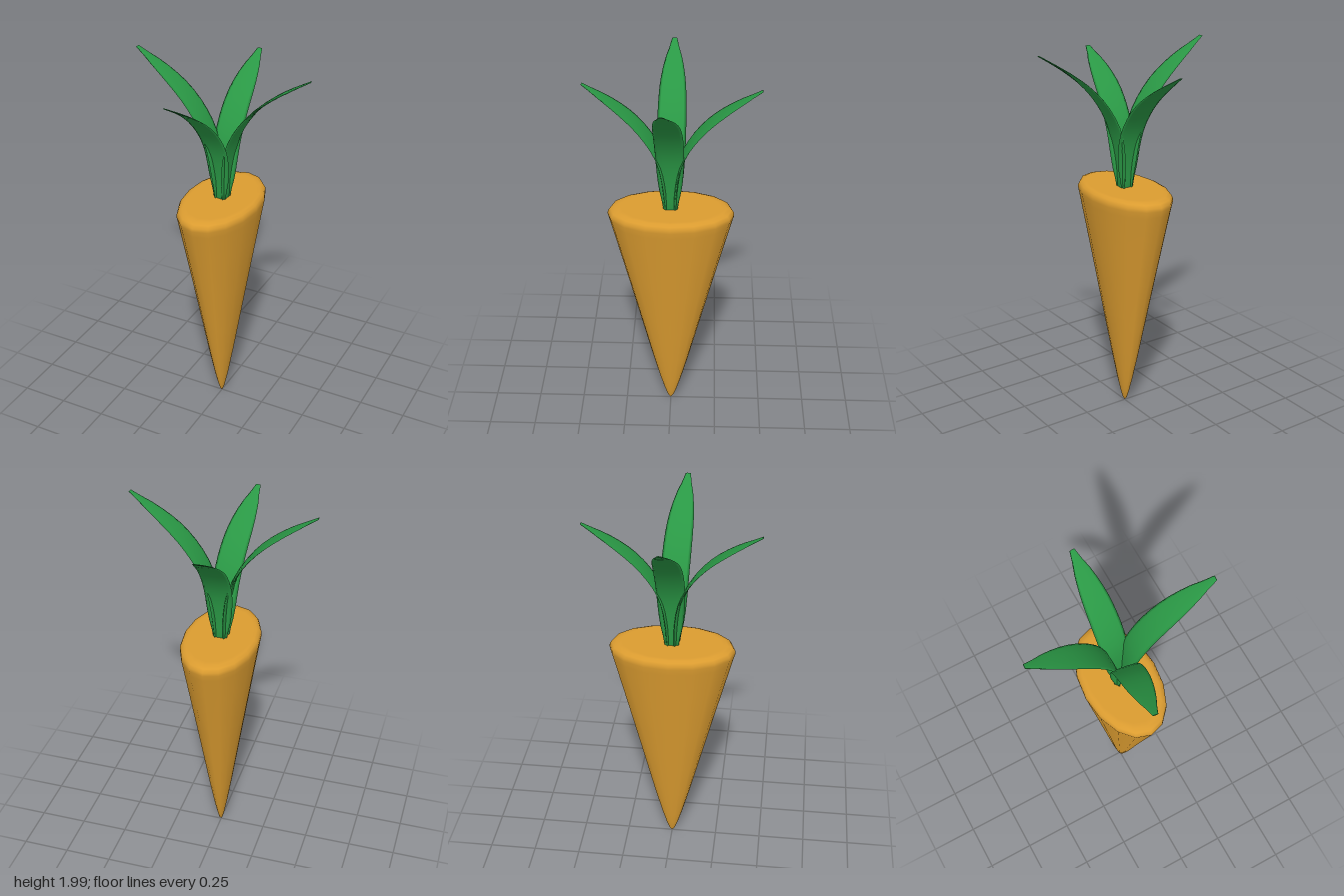
import * as THREE from 'three';
import { mergeVertices } from 'three/addons/utils/BufferGeometryUtils.js';

const v2 = (list) => list.map(([x, y]) => new THREE.Vector2(x, y));
const orange = new THREE.MeshStandardMaterial({ color: 0xdb9c30 });
const green = new THREE.MeshStandardMaterial({ color: 0x2a9845, side: THREE.DoubleSide });

// Leaf midline (outward, up from the crown) and half-width along its length
const midline = new THREE.SplineCurve(v2([
  [0.022, 0], [0.03, 0.15], [0.055, 0.3], [0.11, 0.42], [0.2, 0.535], [0.32, 0.635], [0.475, 0.735],
]));
const halfWidth = new THREE.SplineCurve(v2([
  [0, 0.036], [0.15, 0.059], [0.3, 0.07], [0.45, 0.073], [0.6, 0.072], [0.75, 0.065], [0.9, 0.045], [1, 0.013],
]));

// A unit cylinder bent along the midline and flattened into a blade
function leafGeometry() {
  const geo = new THREE.CylinderGeometry(1, 1, 1, 10, 16);
  geo.deleteAttribute('uv');
  geo.deleteAttribute('normal');
  const pos = geo.attributes.position;
  for (let i = 0; i < pos.count; i++) {
    const t = THREE.MathUtils.clamp(pos.getY(i) + 0.5, 0, 1);
    const c = midline.getPointAt(t);
    const d = midline.getTangentAt(t);
    const off = pos.getX(i) * THREE.MathUtils.lerp(0.011, 0.003, t);
    pos.setXYZ(i, c.x + d.y * off, c.y - d.x * off, pos.getZ(i) * halfWidth.getPoint(t).y);
  }
  const merged = mergeVertices(geo, 1e-5);
  merged.computeVertexNormals();
  return merged;
}

export function createModel() {
  const model = new THREE.Group();

  // Tapered root with an oval cross-section, rounded shoulder and flat crown
  const profile = v2([
    [0, 0.008], [0.05, 0.03], [0.1, 0.075], [0.17, 0.15], [0.3, 0.31], [0.45, 0.51], [0.65, 0.775],
    [0.85, 1.035], [0.97, 1.19], [1, 1.225], [0.995, 1.243], [0.96, 1.26], [0.88, 1.268], [0.8, 1.27], [0, 1.27],
  ]);
  const rootGeo = new THREE.LatheGeometry(profile, 16);
  rootGeo.scale(0.198, 1, 0.327);
  const root = new THREE.Mesh(rootGeo, orange);
  root.name = 'root';
  model.add(root);

  // Four leaves fanning out: the side pair is taller than the front and back pair
  const geo = leafGeometry();
  const leaves = [
    ['leftLeaf', -0.06, 1, 1],
    ['rightLeaf', Math.PI - 0.01, 1, 1],
    ['frontLeaf', -Math.PI / 2 - 0.15, 0.94, 0.89],
    ['backLeaf', Math.PI / 2 + 0.02, 0.94, 0.89],
  ];
  for (const [name, yaw, reach, height] of leaves) {
    const leaf = new THREE.Mesh(geo, green);
    leaf.name = name;
    leaf.position.y = 1.265;
    leaf.rotation.y = yaw;
    leaf.scale.set(reach, height, 1);
    model.add(leaf);
  }
  return model;
}
